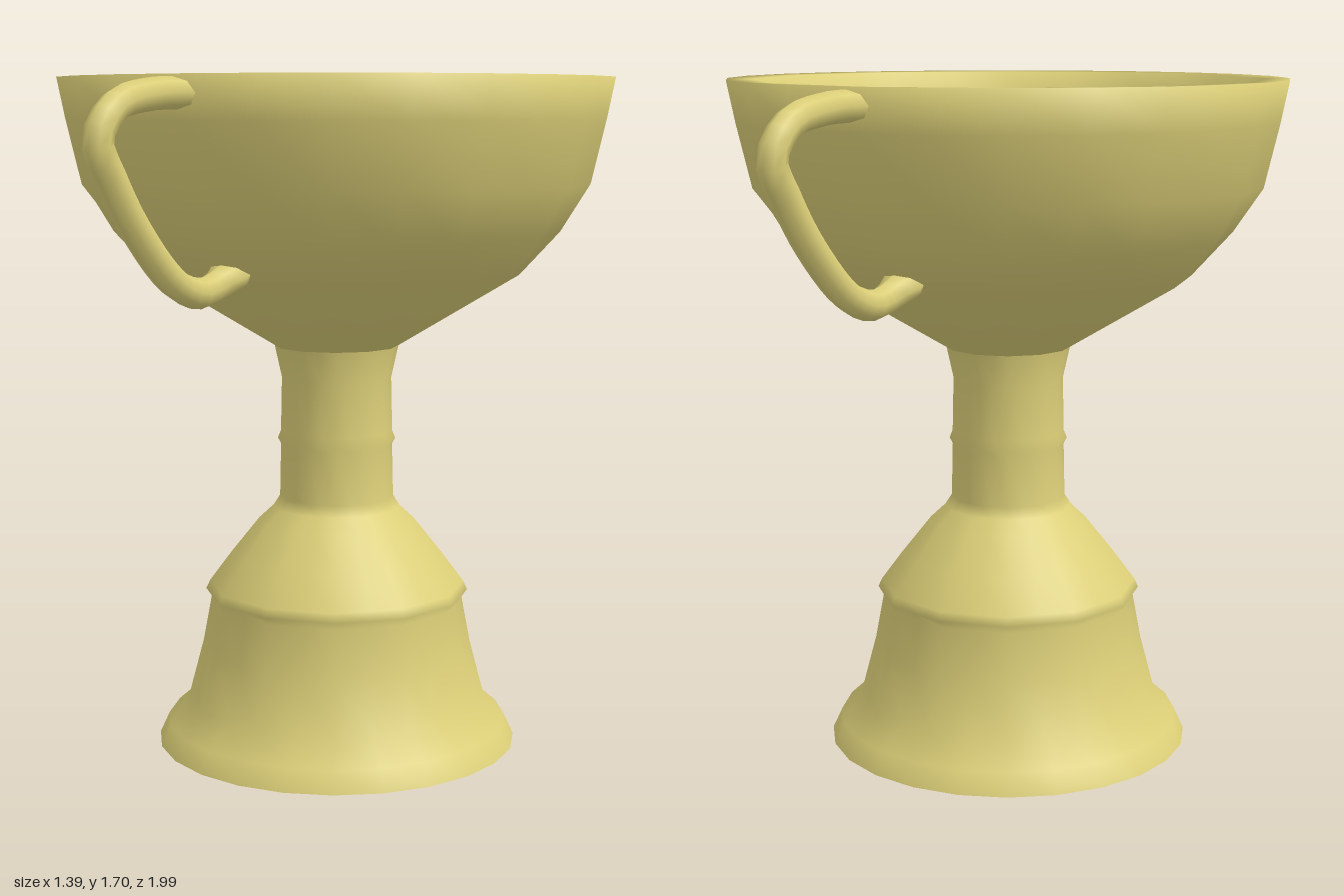
import * as THREE from 'three';
import { mergeVertices } from 'three/addons/utils/BufferGeometryUtils.js';

const gold = new THREE.MeshStandardMaterial({ color: 0xdccf78, side: THREE.DoubleSide });
gold.name = 'pale gold';

const SIDES = 24;

// Weld the seams so the shading runs smoothly over the whole part
function weld(geometry) {
  geometry.deleteAttribute('uv');
  geometry.deleteAttribute('normal');
  const welded = mergeVertices(geometry, 1e-4);
  welded.computeVertexNormals();
  return welded;
}

// Lathe a profile of [radius, height, round]; rows without the round flag become twelve-sided
function turned(name, rows) {
  const geometry = new THREE.LatheGeometry(rows.map(([r, y]) => new THREE.Vector2(r, y)), SIDES);
  const pos = geometry.attributes.position;
  const flat = Math.cos(Math.PI / 12);
  for (let i = 0; i < pos.count; i++) {
    const column = Math.floor(i / rows.length);
    const round = rows[i % rows.length][2];
    if (column % 2 && !round) pos.setXYZ(i, pos.getX(i) * flat, pos.getY(i), pos.getZ(i) * flat);
  }
  const mesh = new THREE.Mesh(weld(geometry), gold);
  mesh.name = name;
  return mesh;
}

// Curved handle in the yz plane, widened where it meets the bowl
function handle(name, turn) {
  const path = [
    [1.66, 0.65], [1.66, 0.69], [1.657, 0.777], [1.63, 0.905], [1.56, 0.963], [1.48, 0.92],
    [1.367, 0.836], [1.244, 0.7], [1.212, 0.6], [1.235, 0.51], [1.26, 0.46],
  ].map(([y, z]) => new THREE.Vector3(0, y, z));
  const geometry = new THREE.TubeGeometry(new THREE.CatmullRomCurve3(path), 28, 0.036, 8);
  const pos = geometry.attributes.position;
  for (let i = 0; i < pos.count; i++) {
    const y = pos.getY(i);
    const z = pos.getZ(i);
    const root = y > 1.45 ? 0.74 : 0.56;
    const flare = THREE.MathUtils.clamp((root - z) / 0.07, 0, 1);
    pos.setX(i, pos.getX(i) * (0.9 + 0.75 * flare * flare));
    pos.setY(i, Math.min(y, 1.698));
  }
  const mesh = new THREE.Mesh(weld(geometry), gold);
  mesh.name = name;
  mesh.rotation.y = turn;
  return mesh;
}

export function createModel() {
  const cup = new THREE.Group();
  cup.name = 'trophyCup';

  // Hollow foot, bell and stem, with a raised ring on the bell and on the stem
  cup.add(turned('pedestal', [
    [0.465, 0, true], [0.44, 0.054, true], [0.385, 0.113], [0.348, 0.253], [0.326, 0.37],
    [0.34, 0.39], [0.33, 0.412], [0.272, 0.49], [0.2, 0.58], [0.163, 0.614], [0.146, 0.64],
    [0.143, 0.775], [0.151, 0.79], [0.143, 0.81], [0.14, 0.948], [0.158, 1.03],
  ]));

  // Bowl: outer wall, rim, then inner wall down to the middle
  cup.add(turned('bowl', [
    [0.158, 1.03], [0.463, 1.21], [0.565, 1.32], [0.64, 1.444, true], [0.676, 1.6, true],
    [0.696, 1.702, true], [0.64, 1.7], [0.622, 1.6], [0.585, 1.45], [0.51, 1.33],
    [0.41, 1.23], [0.13, 1.08], [0, 1.06],
  ]));

  // Handles at the front and back
  cup.add(handle('frontHandle', 0), handle('backHandle', Math.PI));
  return cup;
}
